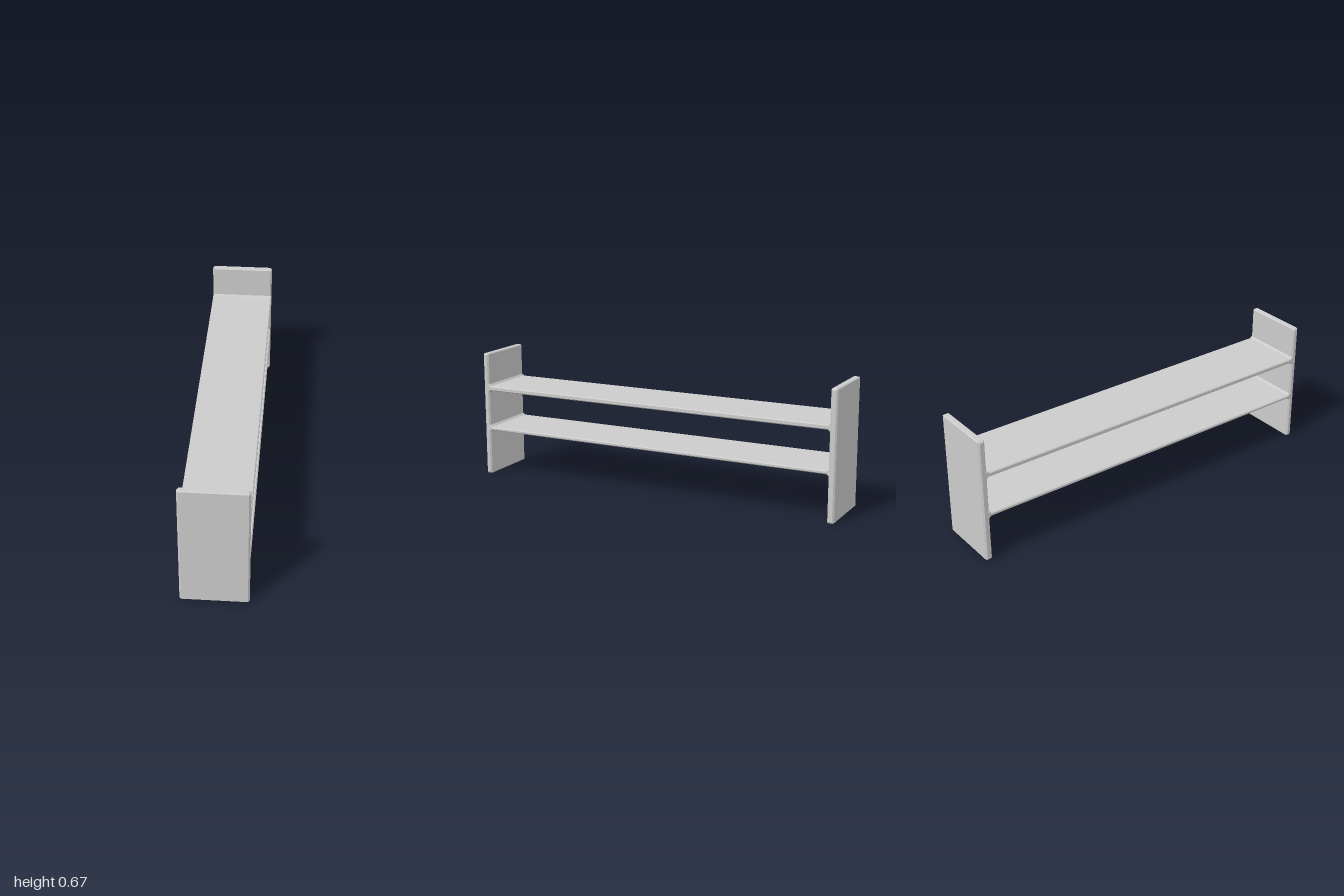
import * as THREE from 'three';

const WIDTH = 0.333;
const HEIGHT = 0.665;
const FRONT = 0.968; // inner face of the front panel
const BACK = -0.965; // inner face of the back panel

const material = new THREE.MeshStandardMaterial({ color: 0xcccccc, flatShading: true });

// Extrude a [z, y] outline across the width, with chamfered side edges
function sideExtrusion(name, points, bevel) {
  const shape = new THREE.Shape(points.map(([z, y]) => new THREE.Vector2(z, y)));
  const geometry = new THREE.ExtrudeGeometry(shape, {
    depth: WIDTH - 2 * bevel,
    bevelEnabled: true,
    bevelThickness: bevel,
    bevelSize: bevel,
    bevelOffset: -bevel,
    bevelSegments: 1,
  });
  geometry.translate(0, 0, bevel - WIDTH / 2);
  geometry.rotateY(-Math.PI / 2);
  const mesh = new THREE.Mesh(geometry, material);
  mesh.name = name;
  return mesh;
}

// Upright end panel with chamfered top and bottom edges
function panel(name, z0, z1) {
  const c = 0.005;
  return sideExtrusion(name, [
    [z0 + c, 0], [z1 - c, 0], [z1, c], [z1, HEIGHT - c],
    [z1 - c, HEIGHT], [z0 + c, HEIGHT], [z0, HEIGHT - c], [z0, c],
  ], 0.008);
}

// Long shelf, flaring where it joins the panels; its ends sit inside them
function shelf(name, y0, y1) {
  const f = 0.01;
  const embed = 0.016;
  return sideExtrusion(name, [
    [BACK - embed, y0 - f], [BACK, y0 - f], [BACK + f, y0],
    [FRONT - f, y0], [FRONT, y0 - f], [FRONT + embed, y0 - f],
    [FRONT + embed, y1 + f], [FRONT, y1 + f], [FRONT - f, y1],
    [BACK + f, y1], [BACK, y1 + f], [BACK - embed, y1 + f],
  ], 0.005);
}

export function createModel() {
  const group = new THREE.Group();
  group.name = 'bench';
  group.add(
    panel('frontPanel', FRONT, 1),
    panel('backPanel', -1, BACK),
    shelf('seat', 0.463, 0.488),
    shelf('lowerShelf', 0.244, 0.263),
  );
  return group;
}
